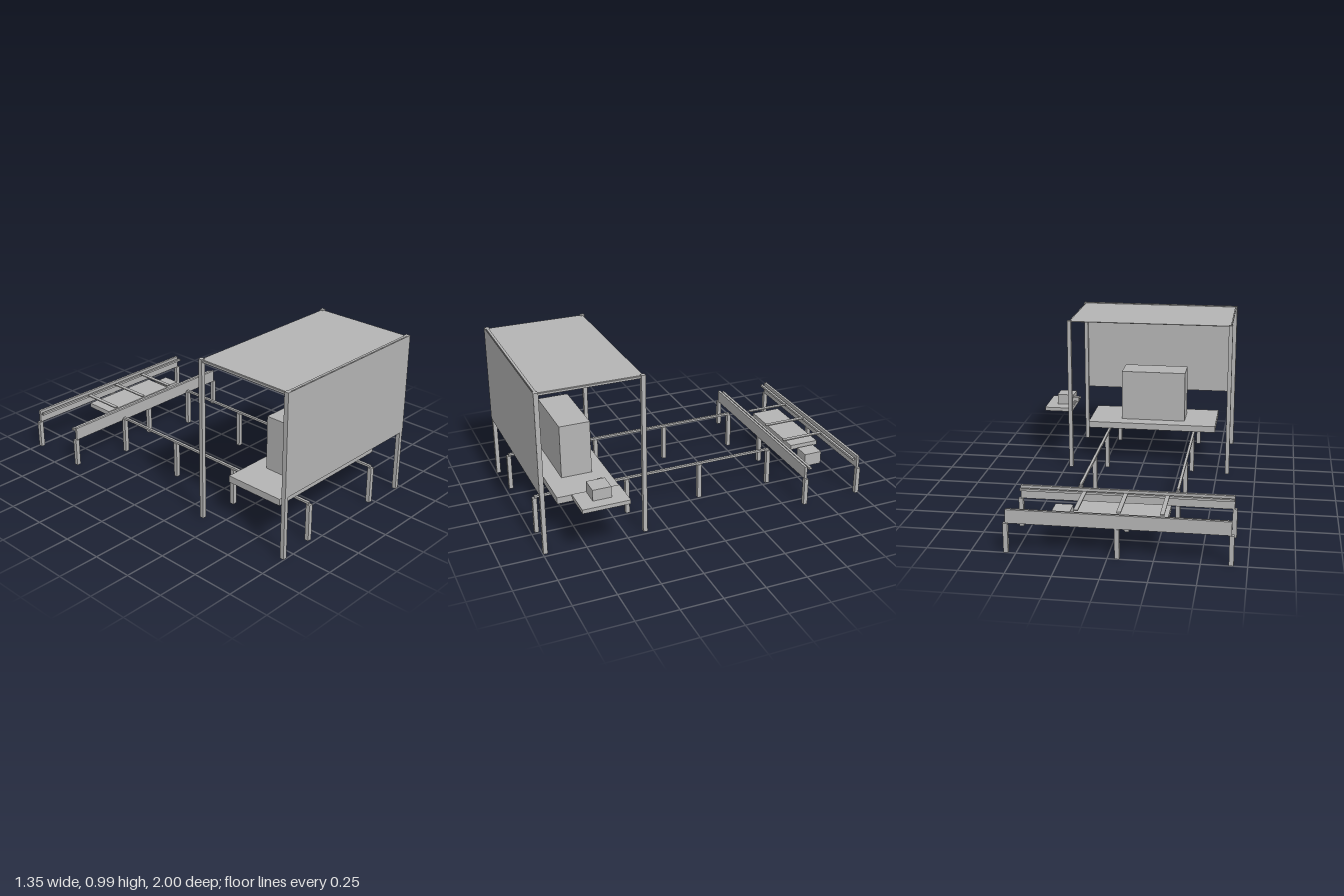
import * as THREE from 'three';

export function createModel() {
  const model = new THREE.Group();
  model.name = 'workStation';
  const grey = new THREE.MeshStandardMaterial({ color: 0xb4b4b4 });
  grey.name = 'grey';

  const group = (name) => {
    const g = new THREE.Group();
    g.name = name;
    model.add(g);
    return g;
  };
  // Box given by its limits on each axis
  const box = (parent, name, [x0, x1], [y0, y1], [z0, z1]) => {
    const m = new THREE.Mesh(new THREE.BoxGeometry(x1 - x0, y1 - y0, z1 - z0), grey);
    m.name = name;
    m.position.set((x0 + x1) / 2, (y0 + y1) / 2, (z0 + z1) / 2);
    parent.add(m);
    return m;
  };
  const around = (c, w) => [c - w / 2, c + w / 2];

  // Canopy: four posts, beams, roof sheet and front screen
  const canopy = group('canopy');
  const postX = [-0.567, 0.465], postZ = [0.382, 0.985];
  for (const x of postX) {
    for (const z of postZ) box(canopy, 'canopyPost', around(x, 0.025), [0, 0.987], around(z, 0.025));
    box(canopy, 'sideBeam', around(x, 0.012), [0.968, 0.98], [0.394, 0.973]);
  }
  box(canopy, 'frontBeam', [-0.555, 0.452], [0.966, 0.987], around(0.985, 0.015));
  box(canopy, 'roofSheet', [-0.568, 0.464], [0.979, 0.983], [0.379, 0.985]);
  box(canopy, 'frontScreen', [-0.58, 0.477], [0.38, 0.987], [0.997, 1]);

  // Machine table with its housing and two pins underneath
  const table = group('machineTable');
  box(table, 'tableTop', [-0.475, 0.368], [0.237, 0.278], [0.5, 0.872]);
  box(table, 'housing', [-0.265, 0.156], [0.278, 0.607], [0.592, 0.778]);
  for (const x of [-0.382, 0.273]) {
    const pin = new THREE.Mesh(new THREE.CylinderGeometry(0.007, 0.007, 0.02, 16), grey);
    pin.name = 'tablePin';
    pin.position.set(x, 0.229, 0.687);
    table.add(pin);
  }

  // Side control desk
  const desk = group('controlDesk');
  box(desk, 'deskTop', [0.487, 0.672], [0.328, 0.352], [0.541, 0.821]);
  box(desk, 'controlBox', [0.493, 0.603], [0.352, 0.419], [0.628, 0.738]);
  box(desk, 'connector', [0.458, 0.493], [0.375, 0.403], [0.63, 0.66]);
  box(desk, 'connectorPin', [0.458, 0.493], [0.376, 0.389], [0.7, 0.714]);

  // Two long floor rails on legs
  const rails = group('floorRails');
  for (const x of [-0.335, 0.226]) {
    box(rails, 'floorRail', around(x, 0.016), [0.226, 0.239], [-0.542, 0.966]);
    for (const z of [0.966, 0.402, -0.069, -0.538]) {
      box(rails, 'railLeg', around(x, 0.026), [0, 0.226], around(z, 0.025));
    }
  }

  // Rear conveyor: two side plates on legs, inner guides and cross bars
  const conveyor = group('conveyor');
  for (const [plateZ, guideZ] of [[-0.625, -0.655], [-0.9875, -0.957]]) {
    box(conveyor, 'sidePlate', [-0.662, 0.556], [0.171, 0.249], around(plateZ, 0.016));
    box(conveyor, 'innerGuide', [-0.662, 0.556], [0.226, 0.239], around(guideZ, 0.016));
    for (const x of [-0.663, -0.053, 0.556]) {
      box(conveyor, 'conveyorLeg', around(x, 0.026), [0, 0.171], around(plateZ, 0.025));
    }
  }
  for (const x of [-0.289, -0.055, 0.178]) {
    box(conveyor, 'crossBar', around(x, 0.024), [0.242, 0.249], [-0.945, -0.672]);
  }

  // Tray and motor box beneath the conveyor
  box(conveyor, 'tray', [-0.316, 0.205], [0.181, 0.21], [-0.902, -0.716]);
  box(conveyor, 'motorBox', [0.227, 0.329], [0.117, 0.198], [-0.862, -0.75]);

  return model;
}
